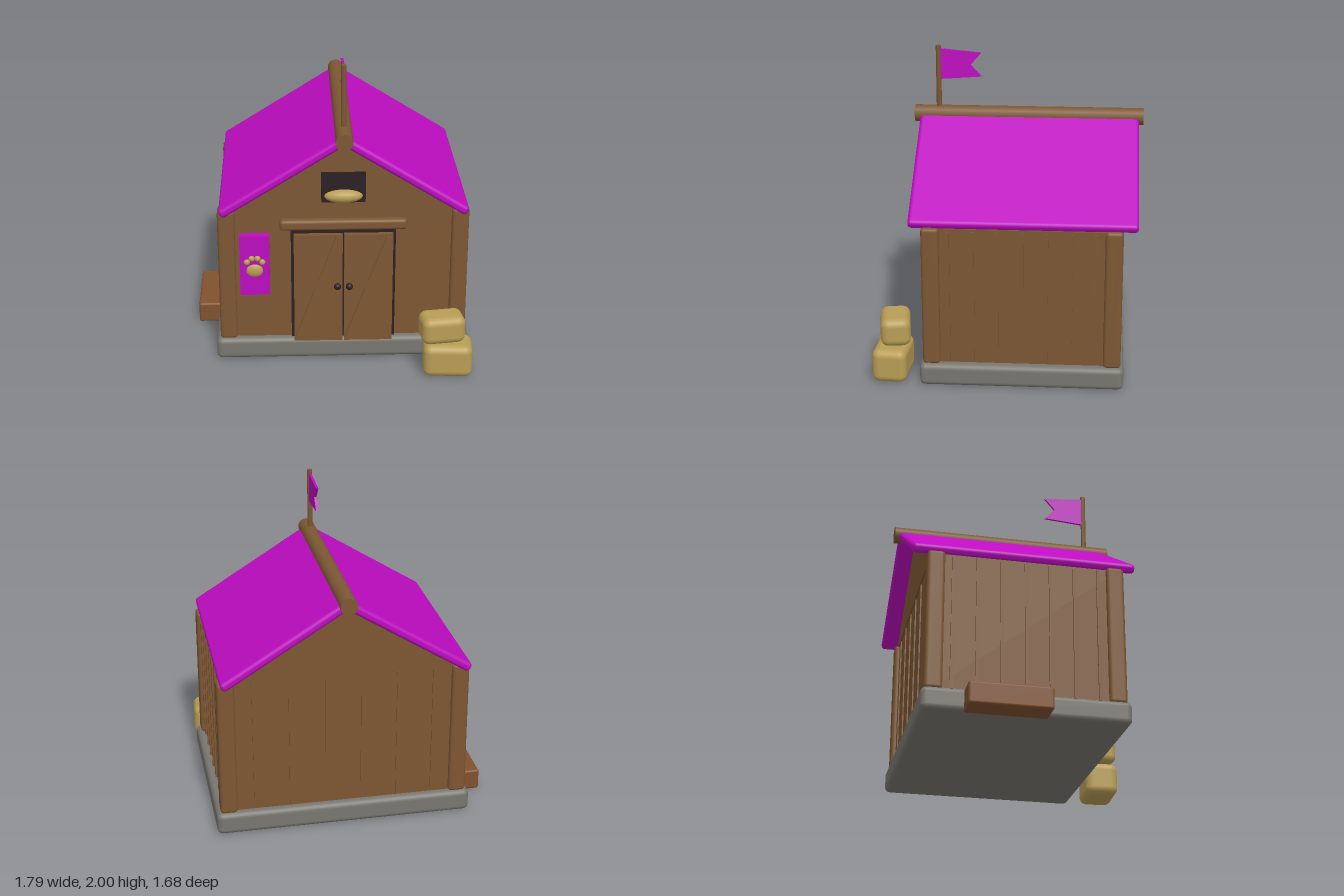
import * as THREE from 'three';
import { RoundedBoxGeometry } from 'three/addons/geometries/RoundedBoxGeometry.js';

export function createModel() {
  const mat = (name, color) => {
    const m = new THREE.MeshStandardMaterial({ color });
    m.name = name;
    return m;
  };
  const wood = mat('wood', 0x7d5733);
  const reddishWood = mat('reddish wood', 0x80512f);
  const magenta = mat('magenta', 0xbd0cc0);
  const stone = mat('stone', 0x78766f);
  const hay = mat('hay', 0xb89d55);
  const dark = mat('dark', 0x2a2024);

  const root = new THREE.Group();
  root.name = 'barn';
  const CX = 0.067, CZ = -0.105; // centre of the building

  const add = (name, geo, material, x, y, z, parent = root) => {
    const mesh = new THREE.Mesh(geo, material);
    mesh.name = name;
    mesh.position.set(x, y, z);
    parent.add(mesh);
    return mesh;
  };
  const box = (name, m, x, y, z, w, h, d, parent) =>
    add(name, new THREE.BoxGeometry(w, h, d), m, x, y, z, parent);
  const soft = (name, m, x, y, z, w, h, d, r, parent) =>
    add(name, new RoundedBoxGeometry(w, h, d, 3, r), m, x, y, z, parent);
  const ball = (name, m, x, y, z, rx, ry, rz, parent) => {
    const mesh = add(name, new THREE.SphereGeometry(1, 20, 12), m, x, y, z, parent);
    mesh.scale.set(rx, ry, rz);
    return mesh;
  };

  // Foundation and walls
  soft('foundation', stone, CX, 0.073, CZ, 1.65, 0.146, 1.28, 0.035);
  box('walls', wood, CX, 0.585, CZ, 1.536, 0.91, 1.18);

  // Gables, one prism through the attic
  const tri = new THREE.Shape([
    new THREE.Vector2(-0.76, 1.035), new THREE.Vector2(0.76, 1.035), new THREE.Vector2(0, 1.51),
  ]);
  add('gables', new THREE.ExtrudeGeometry(tri, { depth: 1.2, bevelEnabled: false }), wood, CX, 0, CZ - 0.6);

  // Corner posts
  for (const sx of [-1, 1]) for (const sz of [-1, 1])
    soft('cornerPost', wood, CX + sx * 0.745, 0.595, CZ + sz * 0.565, 0.11, 0.91, 0.11, 0.022);

  // Battens on the side and back walls
  for (const sx of [-1, 1]) for (let i = -3; i <= 3; i++)
    box('sideBatten', wood, CX + sx * 0.768, 0.59, CZ + i * 0.152, 0.024, 0.87, 0.02);
  for (let i = -2.5; i <= 2.5; i++)
    box('backBatten', wood, CX + i * 0.23, 0.59, CZ - 0.59, 0.014, 0.87, 0.016);

  // Roof slabs and ridge beam
  const pitch = Math.atan(0.625);
  for (const s of [-1, 1]) {
    const slab = soft('roofSlab', magenta, CX + s * 0.389, 1.302, -0.11, 0.92, 0.06, 1.41, 0.024);
    slab.rotation.z = -s * pitch;
  }
  const ridge = add('ridgeBeam', new THREE.CylinderGeometry(0.055, 0.055, 1.475, 14), wood, CX, 1.55, -0.107);
  ridge.rotation.x = Math.PI / 2;

  // Flagpole and swallowtail flag
  add('flagpole', new THREE.CylinderGeometry(0.017, 0.017, 0.45, 10), wood, CX, 1.775, 0.475);
  const flagShape = new THREE.Shape([[0, 1.78], [0.27, 1.8], [0.2, 1.875], [0.27, 1.955], [0, 1.98]]
    .map(([x, y]) => new THREE.Vector2(x, y)));
  const flag = add('flag', new THREE.ExtrudeGeometry(flagShape, { depth: 0.016, bevelEnabled: false }),
    magenta, CX - 0.008, 0, 0.47);
  flag.rotation.y = Math.PI / 2;

  // Double door with crossed braces
  box('doorway', dark, CX, 0.525, 0.493, 0.67, 0.77, 0.02);
  soft('doorRail', wood, CX, 0.95, 0.49, 0.81, 0.072, 0.075, 0.022);
  for (const s of [-1, 1]) {
    const leaf = new THREE.Group();
    leaf.name = 'doorLeaf';
    leaf.position.set(CX + s * 0.161, 0.51, 0);
    root.add(leaf);
    box('doorPanel', wood, 0, 0, 0.515, 0.312, 0.76, 0.04, leaf);
    for (const t of [-1, 1]) {
      const brace = box('brace', wood, 0, 0, 0.537, 0.042, 0.775, 0.022, leaf);
      brace.rotation.z = t * Math.atan(0.27 / 0.73);
    }
    ball('doorKnob', dark, -s * 0.123, 0.015, 0.54, 0.023, 0.023, 0.021, leaf);
  }

  // Hayloft opening with hay
  box('loftOpening', dark, CX, 1.203, 0.496, 0.28, 0.206, 0.009);
  ball('loftHay', hay, CX, 1.145, 0.5, 0.122, 0.044, 0.05);

  // Hanging banner with a paw mark
  box('banner', magenta, -0.5, 0.683, 0.515, 0.19, 0.415, 0.05);
  ball('pawPad', hay, -0.5, 0.65, 0.541, 0.054, 0.044, 0.02);
  for (const [x, y] of [[-0.055, 0.71], [-0.021, 0.735], [0.021, 0.735], [0.055, 0.71]])
    ball('pawToe', hay, -0.5 + x * 0.9, y, 0.542, 0.02, 0.02, 0.018);

  // Hay bales
  soft('lowerBale', hay, 0.73, 0.113, 0.722, 0.315, 0.222, 0.222, 0.05).rotation.y = -0.07;
  soft('upperBale', hay, 0.69, 0.317, 0.707, 0.28, 0.184, 0.19, 0.05).rotation.y = 0.14;

  // Side trough
  soft('trough', reddishWood, -0.81, 0.07, -0.235, 0.18, 0.14, 0.51, 0.015);

  return root;
}
